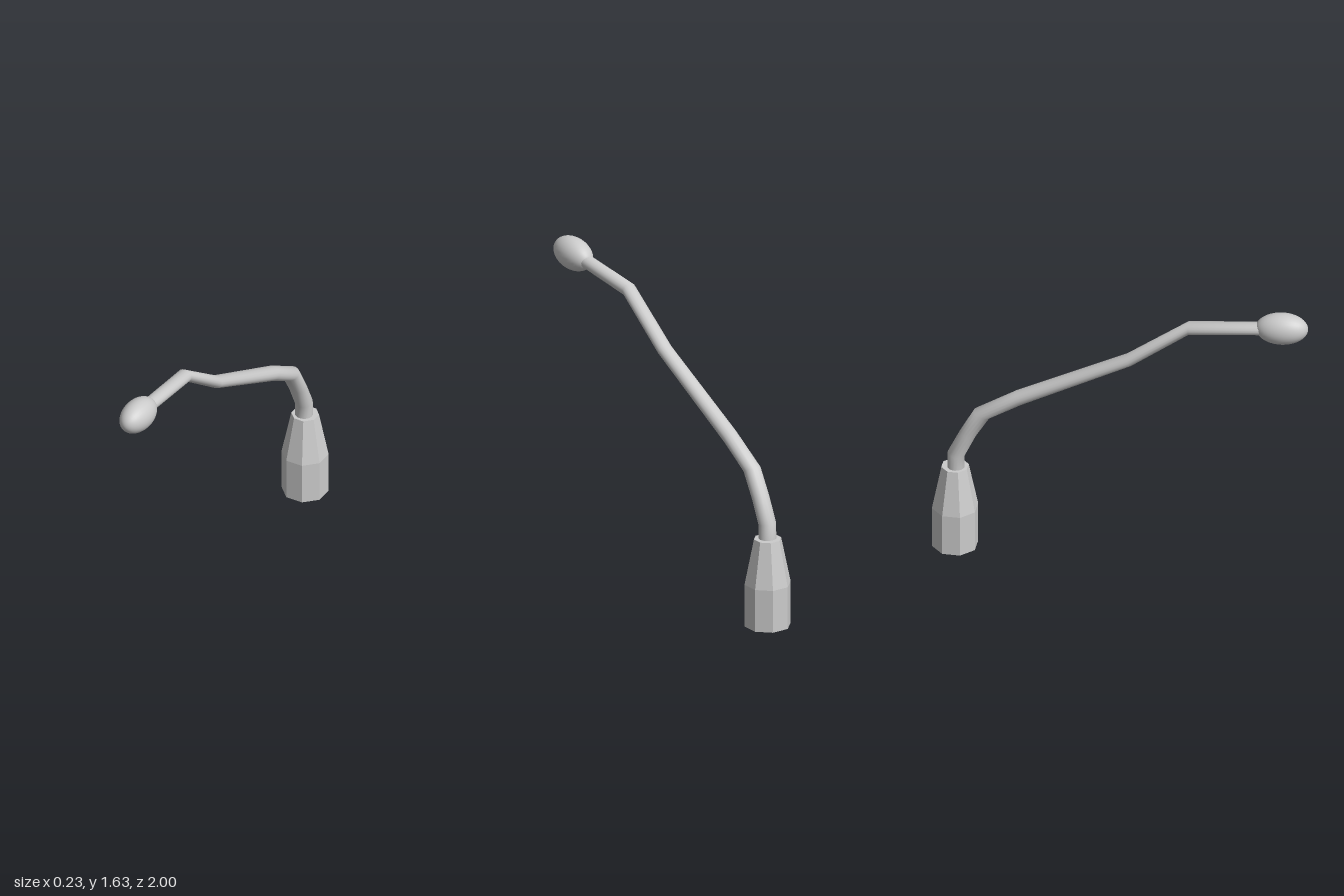
import * as THREE from 'three';

const material = () => new THREE.MeshStandardMaterial({ color: 0xcccccc });

// Tube through mitred rings: [upper z, upper y, lower z, lower y, half width in x]
function bentTube(rings, sides, cx) {
  const pos = [], index = [];
  rings.forEach(([zu, yu, zl, yl, rx], i) => {
    for (let j = 0; j < sides; j++) {
      const a = (j / sides) * Math.PI * 2, c = Math.cos(a) / 2;
      pos.push(cx + rx * Math.sin(a), (yu + yl) / 2 + (yu - yl) * c, (zu + zl) / 2 + (zu - zl) * c);
      if (i === rings.length - 1) continue;
      const p = i * sides + j, q = i * sides + ((j + 1) % sides);
      index.push(p, p + sides, q, q, p + sides, q + sides);
    }
  });
  const geo = new THREE.BufferGeometry();
  geo.setAttribute('position', new THREE.Float32BufferAttribute(pos, 3));
  geo.setIndex(index);
  geo.computeVertexNormals();
  return geo;
}

export function createModel() {
  const model = new THREE.Group();
  const add = (name, geo, mat = material()) => {
    const mesh = new THREE.Mesh(geo, mat);
    mesh.name = name;
    model.add(mesh);
    return mesh;
  };

  // Octagonal base, flats facing the axes, tapering above the knee
  const k = 1 / Math.cos(Math.PI / 8);
  const profile = [[0, 0], [0.115, 0], [0.115, 0.235], [0.068, 0.485], [0, 0.485]]
    .map(([r, y]) => new THREE.Vector2(r * k, y));
  const baseMat = material();
  baseMat.flatShading = true;
  add('base', new THREE.LatheGeometry(profile, 8, Math.PI / 8), baseMat)
    .position.z = -0.885;

  // Bent neck, slightly flattened towards the tip
  add('neck', bentTube([
    [-0.925, 0.46, -0.833, 0.46, 0.048],
    [-0.923, 0.573, -0.833, 0.555, 0.048],
    [-0.858, 0.71, -0.773, 0.685, 0.048],
    [-0.783, 0.848, -0.697, 0.81, 0.047],
    [-0.56, 0.987, -0.53, 0.912, 0.045],
    [0.03, 1.285, 0.06, 1.225, 0.043],
    [0.362, 1.526, 0.368, 1.456, 0.042],
    [0.78, 1.567, 0.787, 1.502, 0.042],
  ], 16, -0.004));

  // Egg-shaped head at the tip, tilted slightly with the neck
  const head = add('head', new THREE.SphereGeometry(1, 32, 20).rotateX(Math.PI / 2));
  head.scale.set(0.081, 0.087, 0.14);
  head.position.set(0, 1.541, 0.86);
  head.rotation.x = -0.07;

  return model;
}
